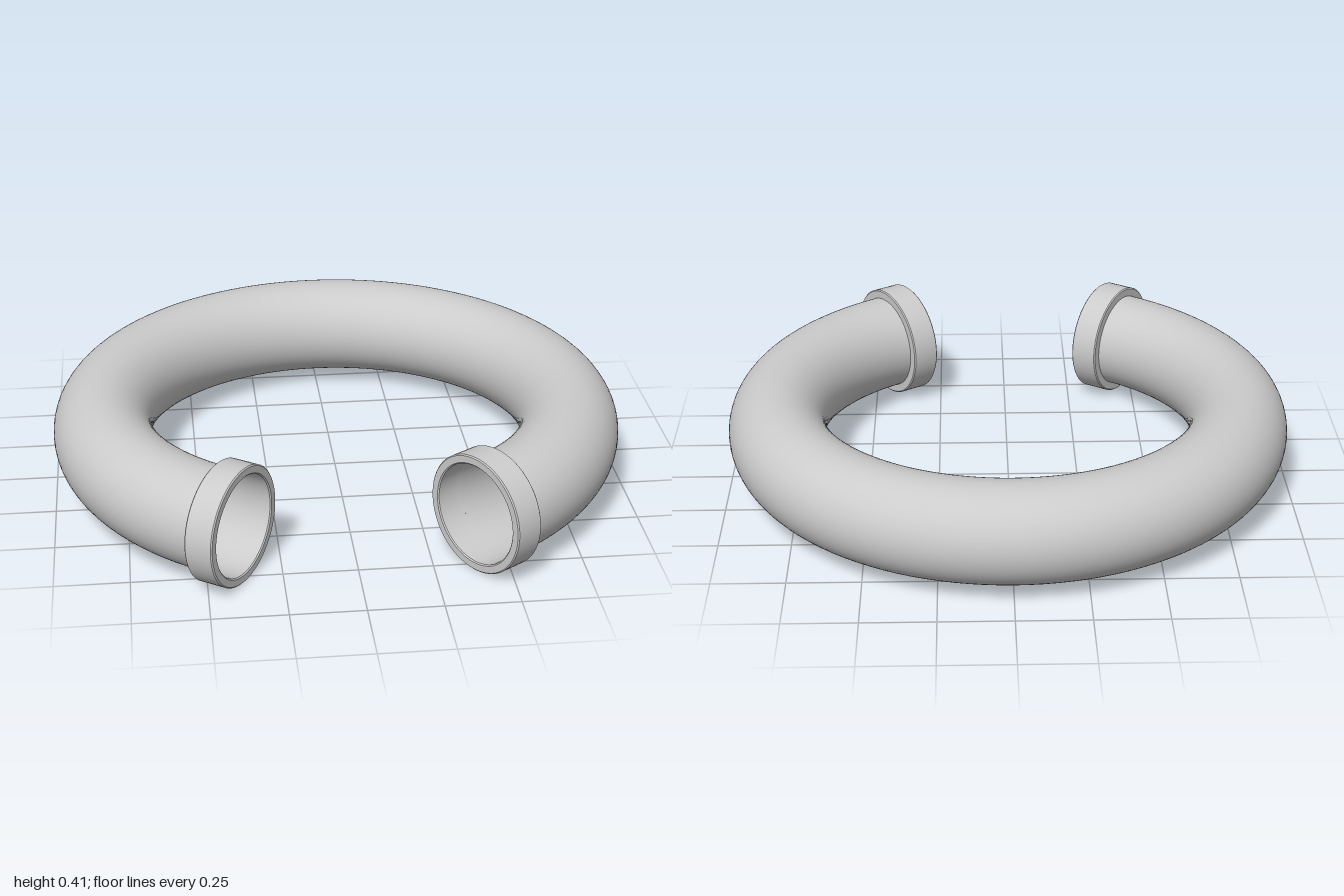
import * as THREE from 'three';
import { toCreasedNormals } from 'three/addons/utils/BufferGeometryUtils.js';

const RING = 0.826, PIPE = 0.174, COLLAR = 0.206, COLLAR_LENGTH = 0.102;
const HEIGHT = 0.206, CENTRE_Z = 0.04;
const END = THREE.MathUtils.degToRad(56.2); // angle of the pipe's end, from +x towards +z

export function createModel() {
  const group = new THREE.Group();
  const material = new THREE.MeshStandardMaterial({ color: 0xcccccc, side: THREE.DoubleSide });

  // Open, hollow pipe bent round most of a circle, with the gap at the front
  const pipeGeometry = new THREE.TorusGeometry(RING, PIPE, 64, 96, Math.PI + 2 * END);
  pipeGeometry.rotateZ(Math.PI - END).rotateX(Math.PI / 2);
  const pipe = new THREE.Mesh(pipeGeometry, material);
  pipe.name = 'bentPipe';
  pipe.position.set(0, HEIGHT, CENTRE_Z);
  group.add(pipe);

  // Straight collar with slightly eased edges, built along +y from the pipe's end
  const b = 0.004, L = COLLAR_LENGTH;
  const profile = [
    [PIPE, 0], [COLLAR - b, 0], [COLLAR, b], [COLLAR, L - b],
    [COLLAR - b, L], [PIPE + b, L], [PIPE, L - b], [PIPE, 0],
  ].map(([x, y]) => new THREE.Vector2(x, y));
  const collarGeometry = toCreasedNormals(new THREE.LatheGeometry(profile, 64), 0.5);

  for (const side of [1, -1]) {
    const collar = new THREE.Mesh(collarGeometry, material);
    collar.name = side > 0 ? 'leftCollar' : 'rightCollar';
    collar.position.set(side * RING * Math.cos(END), HEIGHT, CENTRE_Z + RING * Math.sin(END));
    const along = new THREE.Vector3(-side * Math.sin(END), 0, Math.cos(END));
    collar.quaternion.setFromUnitVectors(new THREE.Vector3(0, 1, 0), along);
    group.add(collar);
  }
  return group;
}
